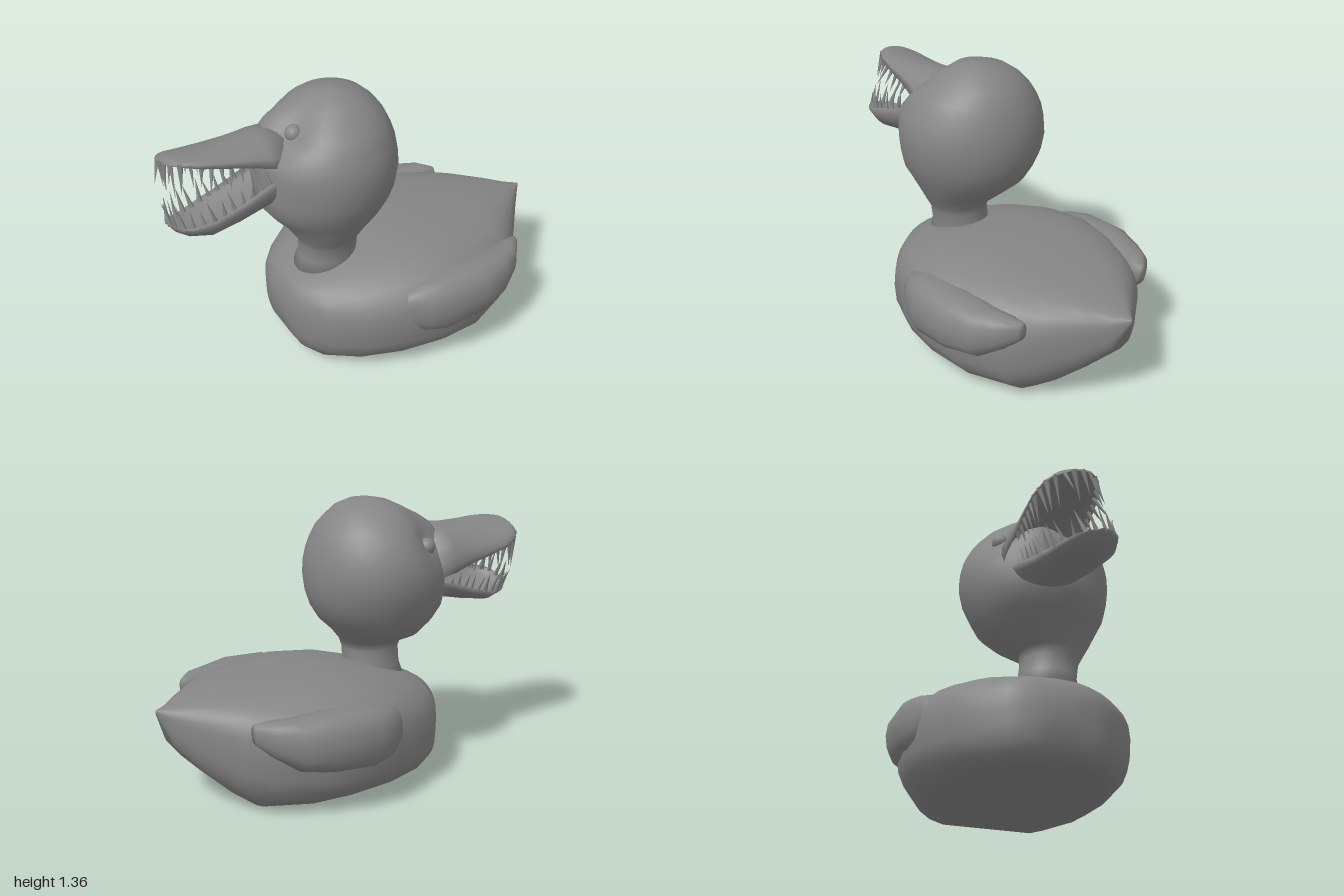
import * as THREE from 'three';

const material = new THREE.MeshStandardMaterial({ color: 0x858585, side: THREE.DoubleSide });
const V = (x, y, z) => new THREE.Vector3(x, y, z);

function addMesh(parent, name, geometry) {
  const mesh = new THREE.Mesh(geometry, material);
  mesh.name = name;
  parent.add(mesh);
  return mesh;
}

// Smooth closed skin over a list of rings, with both ends capped and faces turned outward
function loft(rings) {
  const n = rings[0].length, last = rings.length - 1;
  const points = rings.flat();
  const middle = (ring) => ring.reduce((sum, p) => sum.add(p), V(0, 0, 0)).divideScalar(n);
  const start = points.push(middle(rings[0])) - 1;
  const end = points.push(middle(rings[last])) - 1;
  const index = [];
  for (let j = 0; j < n; j++) {
    const k = (j + 1) % n;
    for (let i = 0; i < last; i++) {
      const a = i * n + j, b = i * n + k;
      index.push(a, b, a + n, b, b + n, a + n);
    }
    index.push(start, k, j, end, last * n + j, last * n + k);
  }
  let volume = 0;
  for (let i = 0; i < index.length; i += 3) {
    volume += points[index[i]].dot(points[index[i + 1]].clone().cross(points[index[i + 2]]));
  }
  if (volume < 0) index.reverse();
  const geometry = new THREE.BufferGeometry().setFromPoints(points);
  geometry.setIndex(index);
  geometry.computeVertexNormals();
  return geometry;
}

const ring = (n, fn) => Array.from({ length: n }, (_, i) => fn((i / n) * Math.PI * 2));
const bend = (v, power) => Math.sign(v) * Math.abs(v) ** power;

// Body: x, bottom, top, half width; flat underneath
function bodyGeometry() {
  const sections = [
    [-0.46, 0.2, 0.32, 0.09], [-0.44, 0.11, 0.38, 0.18], [-0.41, 0.06, 0.43, 0.25],
    [-0.34, 0.02, 0.46, 0.34], [-0.2, 0.01, 0.51, 0.45], [0, 0.005, 0.56, 0.53],
    [0.2, 0.005, 0.58, 0.56], [0.4, 0.005, 0.57, 0.54], [0.62, 0.015, 0.555, 0.43],
    [0.72, 0.085, 0.54, 0.34], [0.84, 0.195, 0.52, 0.2], [0.94, 0.315, 0.495, 0.075],
    [1, 0.465, 0.485, 0.005],
  ];
  return loft(sections.map(([x, low, high, w]) => ring(28, (a) => {
    const s = Math.sin(a), mid = low + (high - low) * 0.52;
    const y = s > 0 ? mid + (high - mid) * s ** 0.8
      : mid - (mid - low) * Math.min(1, 1.1 * (-s) ** 0.7);
    return V(x, y, w * bend(Math.cos(a), 0.72));
  })));
}

// Head and neck: y, x range, z range; pressed in around the eyes, raised along the brow
function headGeometry(eyes) {
  const sections = [
    [0.4, -0.38, -0.03, -0.14, 0.18], [0.52, -0.34, -0.05, -0.11, 0.17],
    [0.6, -0.34, -0.05, -0.1, 0.18], [0.64, -0.36, -0.04, -0.11, 0.2],
    [0.7, -0.4, 0.02, -0.25, 0.235], [0.77, -0.465, 0.1, -0.315, 0.27],
    [0.84, -0.515, 0.145, -0.35, 0.305], [0.91, -0.52, 0.17, -0.38, 0.325],
    [0.99, -0.52, 0.18, -0.397, 0.337], [1.06, -0.52, 0.175, -0.393, 0.335],
    [1.12, -0.515, 0.165, -0.38, 0.32], [1.18, -0.475, 0.145, -0.35, 0.29],
    [1.23, -0.435, 0.12, -0.315, 0.26], [1.28, -0.385, 0.085, -0.265, 0.2],
    [1.33, -0.305, 0.03, -0.19, 0.14], [1.36, -0.23, -0.04, -0.1, 0.07],
    [1.37, -0.15, -0.11, -0.03, 0.01],
  ];
  const centre = V(-0.17, 1, -0.03), brow = V(-0.43, 1.22, -0.12);
  return loft(sections.map(([y, x0, x1, z0, z1]) => ring(32, (a) => {
    const p = V((x0 + x1) / 2 + (x1 - x0) / 2 * Math.cos(a), y, (z0 + z1) / 2 + (z1 - z0) / 2 * Math.sin(a));
    let dent = -0.035 * Math.exp(-p.distanceToSquared(brow) / 0.01);
    for (const eye of eyes) dent += 0.075 * Math.exp(-p.distanceToSquared(eye) / 0.015);
    return p.add(centre.clone().sub(p).normalize().multiplyScalar(dent));
  })));
}

// Wing: x, centre y, centre z, half height, half thickness
function wingGeometry(side) {
  const sections = [
    [-0.025, 0.345, 0.475, 0.05, 0.02], [0, 0.355, 0.475, 0.095, 0.055],
    [0.07, 0.345, 0.475, 0.13, 0.095], [0.17, 0.35, 0.48, 0.148, 0.127],
    [0.38, 0.365, 0.475, 0.142, 0.133], [0.53, 0.37, 0.45, 0.122, 0.108],
    [0.63, 0.405, 0.42, 0.085, 0.075], [0.7, 0.43, 0.38, 0.045, 0.025],
  ];
  return loft(sections.map(([x, y, z, h, w]) => ring(16, (a) =>
    V(x, y + h * bend(Math.sin(a), 0.85), side * (z + w * bend(Math.cos(a), 0.85))))));
}

// Beak half: x, rim height, outer height, half width; hollowed on the mouth side
function beakGeometry(sections) {
  return loft(sections.map(([x, rim, outer, w]) => ring(24, (a) => {
    const s = Math.sin(a);
    const y = rim + (outer - rim) * (s >= 0 ? s : -s * 0.75);
    return V(x, y, w * (s >= 0 ? 1 : 0.93) * Math.cos(a));
  })));
}

// Thin uneven fangs following the rim around the tip
function addTeeth(parent, name, sections, count, lengths, dir, from) {
  const teeth = new THREE.Group();
  teeth.name = name;
  parent.add(teeth);
  const used = sections.filter(([x]) => x < from);
  const half = (s) => used.map(([x, rim, , w]) => V(x + 0.008, rim, s * w * 0.92));
  const rimCurve = new THREE.CatmullRomCurve3([...half(-1), ...half(1).reverse()]);
  let seed = 7;
  const rand = () => (seed = (seed * 16807) % 2147483647) / 2147483647;
  for (let i = 0; i < count; i++) {
    const p = rimCurve.getPointAt(i / (count - 1));
    const frontness = THREE.MathUtils.clamp((-0.5 - p.x) / 0.45, 0, 1);
    const length = THREE.MathUtils.lerp(lengths[0], lengths[1], frontness) * (0.55 + 0.7 * rand());
    const cone = new THREE.ConeGeometry(0.009 + 0.006 * rand(), length, 6);
    const tooth = addMesh(teeth, 'tooth', cone.translate(0, length / 2 - 0.012, 0));
    tooth.position.copy(p);
    const lean = V(0.1 - 0.45 * rand(), dir, (rand() - 0.5) * 0.45 + p.z * 0.8).normalize();
    tooth.quaternion.setFromUnitVectors(V(0, 1, 0), lean);
  }
}

export function createModel() {
  const model = new THREE.Group();
  model.name = 'toothedDuck';
  const eyes = [V(-0.353, 1.215, 0.03), V(-0.325, 1.14, -0.25)];

  addMesh(model, 'body', bodyGeometry());
  addMesh(model, 'headAndNeck', headGeometry(eyes));
  addMesh(model, 'wingFront', wingGeometry(1));
  addMesh(model, 'wingBack', wingGeometry(-1));
  for (const eye of eyes) {
    addMesh(model, 'eye', new THREE.SphereGeometry(0.043, 16, 12)).position.copy(eye);
  }

  // Beak, rolled with the tilted head
  const beak = new THREE.Group();
  beak.name = 'beak';
  beak.position.set(0, 1.05, -0.08);
  beak.rotation.x = -0.3;
  model.add(beak);
  const upper = [
    [-0.4, -0.02, 0.165, 0.2], [-0.5, 0.005, 0.165, 0.2], [-0.6, 0.035, 0.155, 0.185],
    [-0.72, 0.065, 0.15, 0.18], [-0.82, 0.09, 0.15, 0.17], [-0.89, 0.11, 0.155, 0.14],
    [-0.93, 0.12, 0.155, 0.1], [-0.95, 0.125, 0.14, 0.05],
  ];
  const lower = [
    [-0.4, -0.05, -0.2, 0.18], [-0.52, -0.07, -0.21, 0.18], [-0.66, -0.12, -0.24, 0.18],
    [-0.8, -0.16, -0.26, 0.175], [-0.9, -0.175, -0.235, 0.135], [-0.945, -0.17, -0.205, 0.09],
    [-0.965, -0.165, -0.175, 0.04],
  ];
  addMesh(beak, 'upperBeak', beakGeometry(upper));
  addMesh(beak, 'lowerBeak', beakGeometry(lower));
  addTeeth(beak, 'upperTeeth', upper, 21, [0.06, 0.15], -1, -0.55);
  addTeeth(beak, 'lowerTeeth', lower, 23, [0.07, 0.12], 1, -0.51);
  return model;
}
